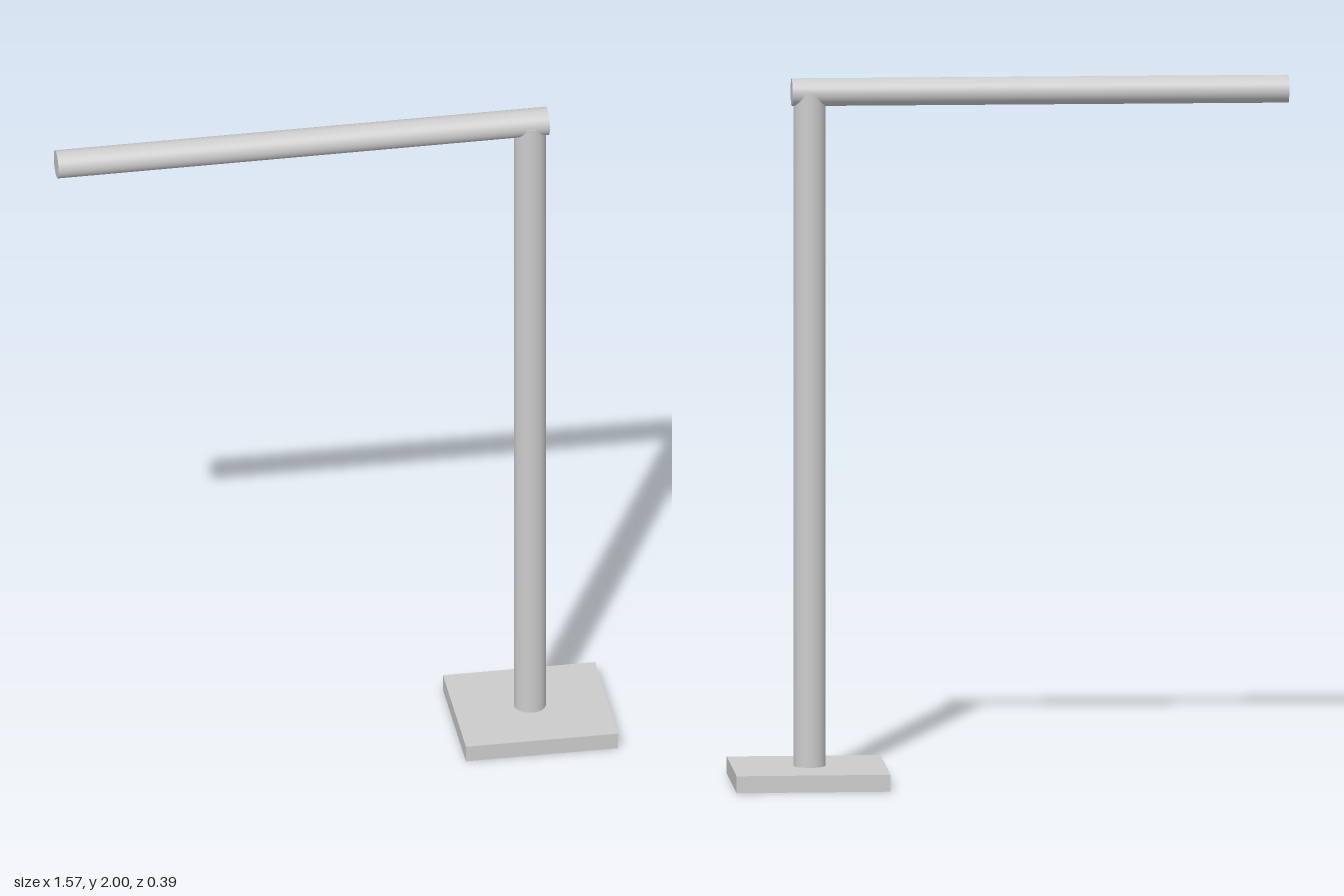
import * as THREE from 'three';

export function createModel() {
  const group = new THREE.Group();
  const material = new THREE.MeshStandardMaterial({ color: 0xcccccc });
  const add = (name, geometry, x, y, z = 0) => {
    const mesh = new THREE.Mesh(geometry, material);
    mesh.name = name;
    mesh.position.set(x, y, z);
    group.add(mesh);
    return mesh;
  };

  // Flat rectangular foot
  add('basePlate', new THREE.BoxGeometry(0.434, 0.048, 0.394), 0.567, 0.024);

  // Upright round post, ending at the arm's axis
  const postBottom = 0.04, postTop = 1.96;
  add('post', new THREE.CylinderGeometry(0.045, 0.045, postTop - postBottom, 48),
    0.565, (postTop + postBottom) / 2);

  // Slightly rising, slightly flattened horizontal arm
  const armGeometry = new THREE.CylinderGeometry(0.042, 0.042, 1.4, 48);
  armGeometry.rotateZ(-Math.PI / 2);
  armGeometry.scale(1, 0.93, 1);
  const arm = add('arm', armGeometry, -0.085, 1.959);
  arm.rotation.z = 0.003;

  return group;
}
